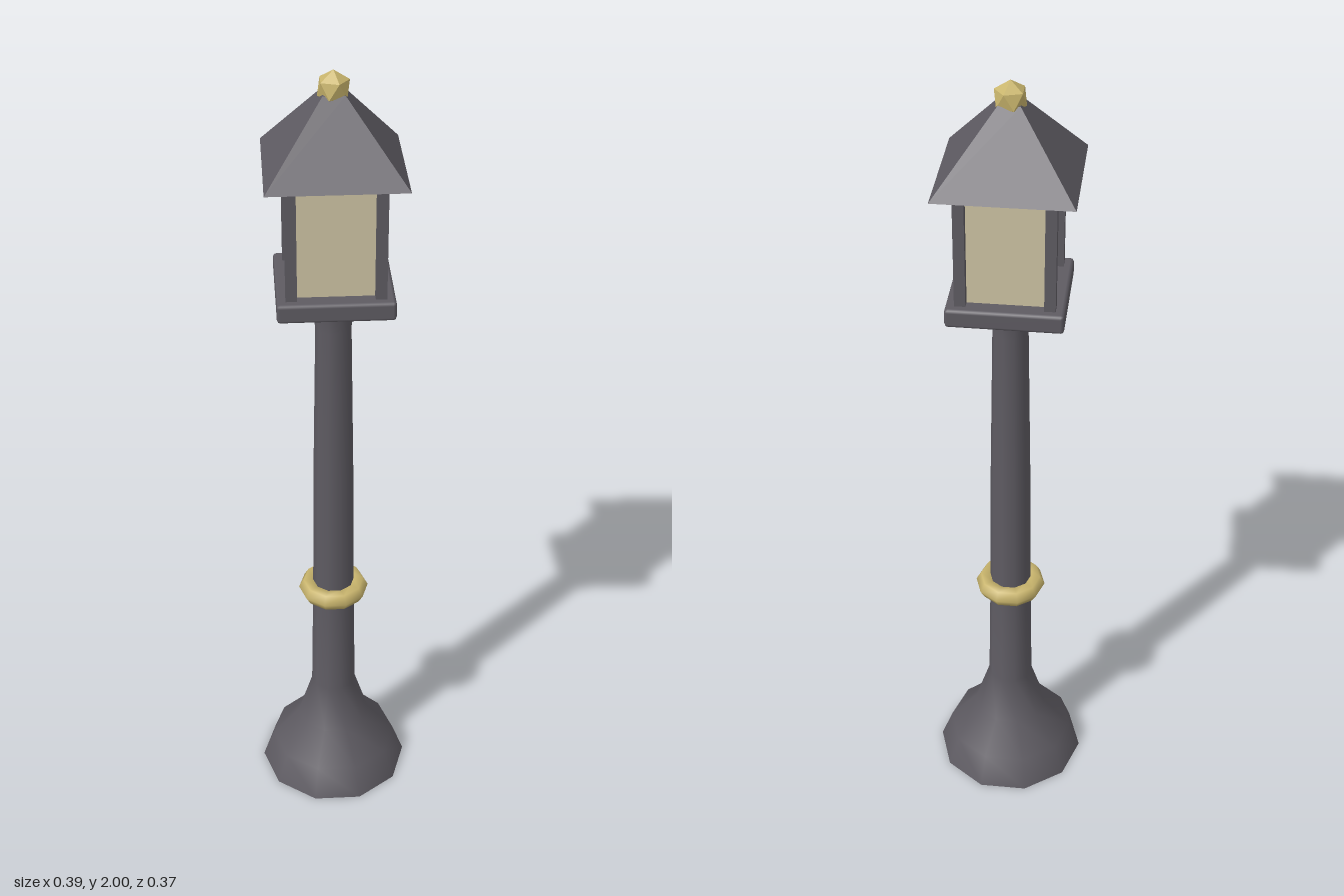
import * as THREE from 'three';
import { RoundedBoxGeometry } from 'three/addons/geometries/RoundedBoxGeometry.js';

export function createModel() {
  const lamp = new THREE.Group();
  lamp.name = 'streetLamp';

  const material = (name, color) => {
    const m = new THREE.MeshStandardMaterial({ color });
    m.name = name;
    return m;
  };
  const iron = material('dark iron', 0x5e5b62);
  const brass = material('brass', 0xc8b46c);
  const glass = material('warm glass', 0xcdc3a3);

  const add = (name, geometry, mat, x = 0, y = 0, z = 0) => {
    const mesh = new THREE.Mesh(geometry, mat);
    mesh.name = name;
    mesh.position.set(x, y, z);
    lamp.add(mesh);
    return mesh;
  };

  // Ten-sided column with a flared foot and a small capital
  const profile = [
    [0.195, 0], [0.165, 0.08], [0.096, 0.16], [0.058, 0.28],
    [0.053, 0.6], [0.05, 0.95], [0.043, 1.37], [0.056, 1.46],
  ].map(([r, y]) => new THREE.Vector2(r, y));
  add('column', new THREE.LatheGeometry(profile, 10, Math.PI / 2), iron);
  const sole = new THREE.CircleGeometry(0.195, 10).rotateX(Math.PI / 2);
  add('columnUnderside', sole, iron);

  // Collar around the column
  const collar = new THREE.TorusGeometry(0.065, 0.025, 6, 10).rotateX(Math.PI / 2);
  add('collar', collar, brass, 0, 0.593, 0);

  // Lantern floor with softened edges
  add('lanternFloor', new RoundedBoxGeometry(0.272, 0.046, 0.272, 1, 0.008), iron, 0, 1.478, 0);

  // Glass and corner posts
  add('lanternGlass', new THREE.BoxGeometry(0.19, 0.28, 0.19), glass, 0, 1.64, 0);
  for (const sx of [-1, 1]) {
    for (const sz of [-1, 1]) {
      add('cornerPost', new THREE.BoxGeometry(0.026, 0.29, 0.026), iron, sx * 0.102, 1.64, sz * 0.102);
    }
  }

  // Four-sided roof, narrowing to a small flat top
  const roof = new THREE.CylinderGeometry(0.025 * Math.SQRT2, 0.159 * Math.SQRT2, 0.17, 4, 1)
    .rotateY(Math.PI / 4).toNonIndexed();
  roof.computeVertexNormals();
  add('roof', roof, iron, 0, 1.865, 0);

  // Faceted finial standing on one of its points
  const tilt = -Math.atan(2 / (1 + Math.sqrt(5)));
  add('finial', new THREE.IcosahedronGeometry(0.04, 0).rotateZ(tilt), brass, 0, 1.96, 0);

  return lamp;
}
